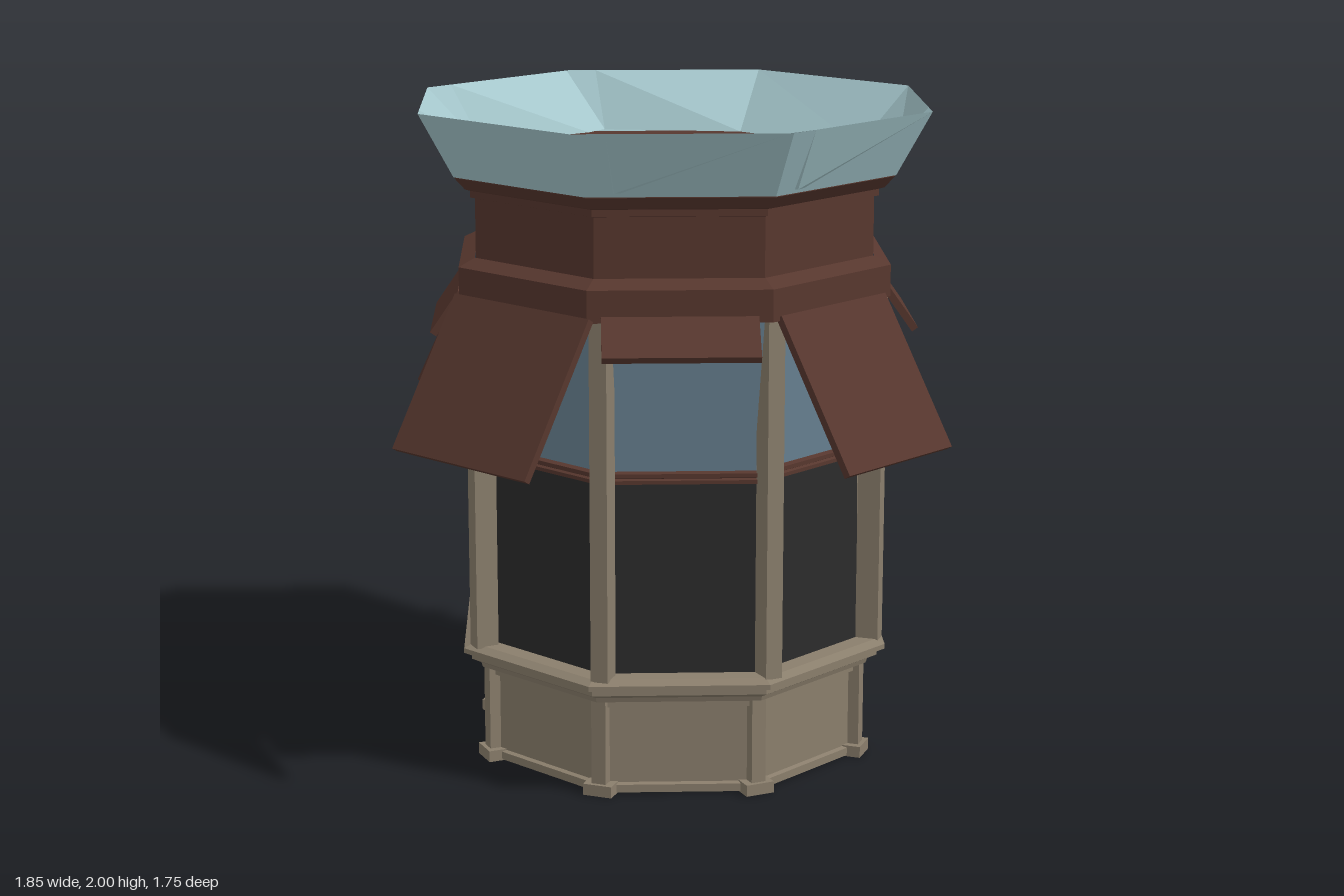
import * as THREE from 'three';

const STEP = Math.PI / 4;
const SIDES = 8;

function material(name, color, extra = {}) {
  const m = new THREE.MeshStandardMaterial({ color, ...extra });
  m.name = name;
  return m;
}

// Sharp facets for any geometry
function faceted(geometry) {
  const g = geometry.index ? geometry.toNonIndexed() : geometry;
  g.computeVertexNormals();
  return g;
}

export function createModel() {
  const stone = material('stone', 0x8a7e6c);
  const brown = material('brownWood', 0x57372e);
  const dark = material('darkPanel', 0x2b2b2b);
  const glass = material('blueGlass', 0x6b8596);
  const pale = material('paleBlue', 0xa6c8cd, { side: THREE.DoubleSide });
  const orange = material('orange', 0xc98a30);

  const model = new THREE.Group();
  model.name = 'kiosk';
  const body = new THREE.Group();
  body.name = 'octagonalBody';
  body.position.z = -0.07; // the awnings shift the body off centre
  model.add(body);

  function add(name, geometry, mat, parent = body) {
    const mesh = new THREE.Mesh(geometry, mat);
    mesh.name = name;
    parent.add(mesh);
    return mesh;
  }

  // Octagonal ring with corners on the axes, from [radius, height] pairs
  function octagon(name, profile, mat) {
    const pts = profile.map(([r, y]) => new THREE.Vector2(r, y));
    return add(name, faceted(new THREE.LatheGeometry(pts, SIDES)), mat);
  }

  // A box at every corner
  function corners(name, w, d, y0, y1, radius, turn = 0) {
    for (let i = 0; i < SIDES; i++) {
      const a = i * STEP + turn;
      const box = add(name, new THREE.BoxGeometry(w, y1 - y0, d), stone);
      box.position.set(Math.sin(a) * radius, (y0 + y1) / 2, Math.cos(a) * radius);
      box.rotation.y = a;
    }
  }

  // Plinth with recessed panels, feet and corner posts
  octagon('plinth', [
    [0, 0.004], [0.612, 0.004], [0.612, 0.028], [0.597, 0.032],
    [0.597, 0.268], [0.612, 0.272], [0.612, 0.295],
  ], stone);
  corners('foot', 0.09, 0.07, 0, 0.035, 0.6);
  corners('plinthPost', 0.045, 0.04, 0.03, 0.295, 0.602);

  // Stepped ledge
  octagon('ledge', [
    [0.6, 0.29], [0.635, 0.295], [0.64, 0.31], [0.67, 0.325],
    [0.67, 0.34], [0.695, 0.347], [0.695, 0.362], [0.665, 0.375], [0.56, 0.375],
  ], stone);

  // Lower panels, sill and windows
  octagon('lowerPanels', [[0.605, 0.37], [0.598, 0.95]], dark);
  octagon('sill', [
    [0.59, 0.947], [0.612, 0.952], [0.612, 0.963], [0.602, 0.967],
    [0.612, 0.971], [0.612, 0.983], [0.57, 0.988],
  ], brown);
  octagon('windows', [[0.588, 0.985], [0.65, 1.455]], glass);
  corners('windowPost', 0.053, 0.07, 0.37, 1.455, 0.637, 0.035);

  // Header, upper wall, cornice and roof
  octagon('header', [
    [0.55, 1.445], [0.692, 1.445], [0.692, 1.54], [0.64, 1.565],
  ], brown);
  octagon('upperWall', [[0.637, 1.56], [0.637, 1.745]], brown);
  octagon('cornice', [
    [0.63, 1.74], [0.652, 1.745], [0.652, 1.765], [0.668, 1.77],
    [0.70, 1.805], [0.70, 1.815], [0, 1.815],
  ], brown);

  // Flared rim: outer shell
  octagon('rimOuter', [[0.703, 1.808], [0.81, 2]], pale);

  // Flared rim: inner faces, down to an uneven edge (x, z) on the roof
  const edge = [
    [0, 0.63], [0.08, 0.68], [0.44, 0.45], [0.54, 0.43], [0.62, 0], [0.68, -0.08],
    [0.45, -0.45], [0, -0.63], [-0.43, -0.53], [-0.45, -0.44], [-0.68, -0.08],
    [-0.62, 0], [-0.53, 0.43], [-0.44, 0.45], [-0.24, 0.58],
  ];
  const rim = edge.map(([x, z]) => {
    const a = Math.atan2(x, z);
    const local = ((a % STEP) + STEP) % STEP - STEP / 2;
    const r = 0.81 * Math.cos(STEP / 2) / Math.cos(local);
    return { low: [x, 1.82, z], high: [Math.sin(a) * r, 2, Math.cos(a) * r] };
  });
  const verts = [];
  rim.forEach((p, i) => {
    const q = rim[(i + 1) % rim.length];
    verts.push(...p.low, ...p.high, ...q.high, ...p.low, ...q.high, ...q.low);
  });
  const rimGeometry = new THREE.BufferGeometry();
  rimGeometry.setAttribute('position', new THREE.Float32BufferAttribute(verts, 3));
  add('rimInner', faceted(rimGeometry), pale);

  // Awnings: [side, width, reach of lower edge, height of lower edge]
  const awnings = [
    [-1, 0.555, 0.895, 1.03], [1, 0.47, 0.895, 1.03], [-3, 0.47, 0.895, 1.03],
    [0, 0.45, 0.77, 1.365], [2, 0.45, 0.72, 1.335], [-2, 0.45, 0.72, 1.33],
    [-4, 0.45, 0.72, 1.325],
  ];
  for (const [side, width, reach, low] of awnings) {
    const holder = new THREE.Group();
    holder.name = reach > 0.8 ? 'longAwning' : 'shortAwning';
    holder.rotation.y = (side + 0.5) * STEP;
    body.add(holder);
    const topR = 0.635, topY = 1.455;
    const dy = topY - low, dz = topR - reach;
    const board = add('awningBoard', new THREE.BoxGeometry(width, Math.hypot(dy, dz), 0.022), brown, holder);
    board.position.set(0, (topY + low) / 2, (topR + reach) / 2);
    board.rotation.x = Math.atan2(dz, dy);
  }

  // Round orange plate on the uncovered back window
  const signSide = new THREE.Group();
  signSide.name = 'windowSign';
  signSide.rotation.y = 3.5 * STEP;
  body.add(signSide);
  const disc = new THREE.CylinderGeometry(1, 1, 0.008, 24);
  disc.rotateX(Math.PI / 2);
  const plate = add('signPlate', disc, orange, signSide);
  plate.scale.set(0.062, 0.08, 1);
  plate.position.set(-0.08, 1.285, 0.586);
  plate.rotation.x = Math.atan2(0.057, 0.47);

  return model;
}
